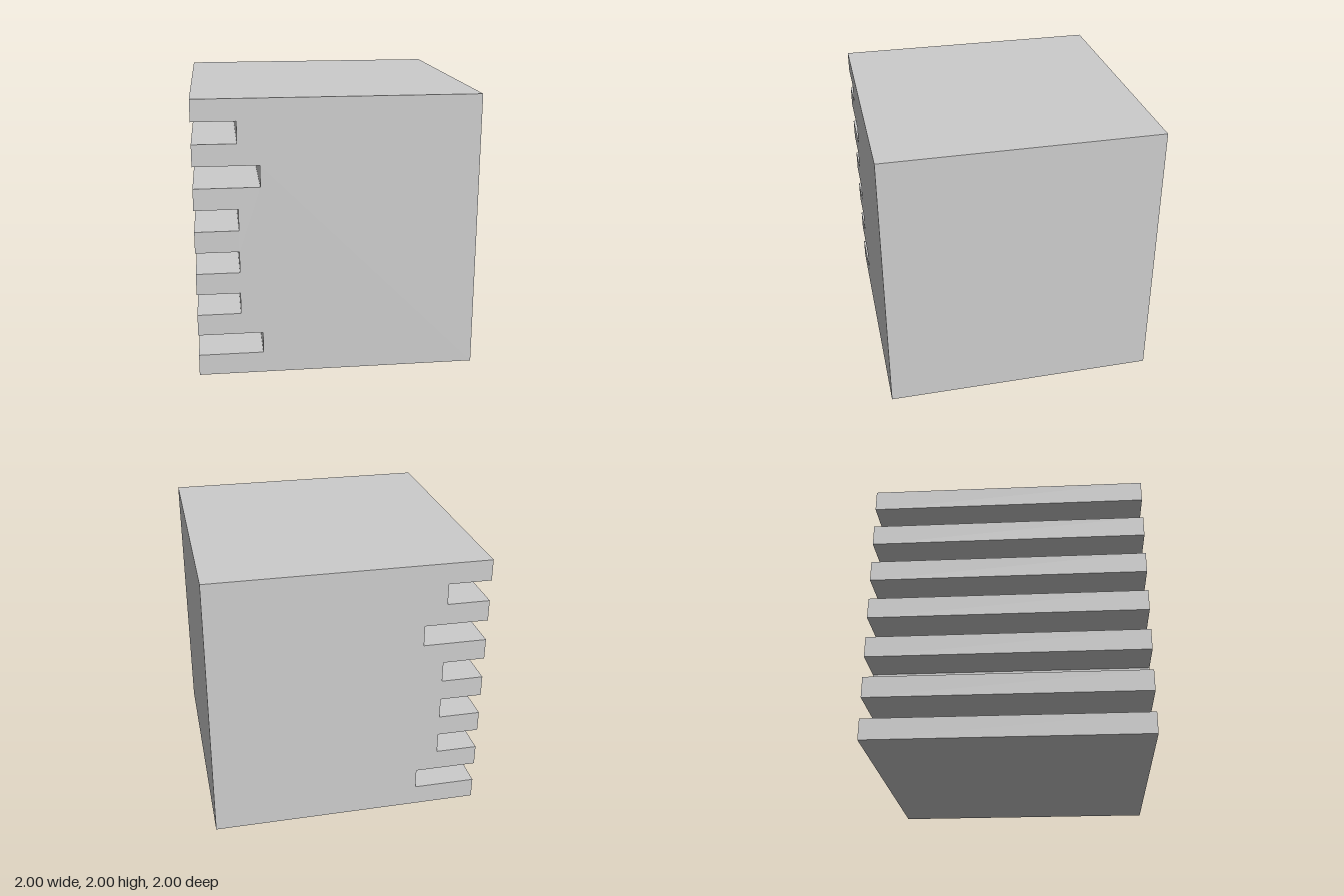
import * as THREE from 'three';

export function createModel() {
  const group = new THREE.Group();
  const unit = 2 / 13; // thickness of each fin and each slot

  // Slot depths in units, bottom to top, cut into the right side
  const slotDepths = [3, 2, 2, 2, 3, 2];

  // Comb-shaped front profile
  const profile = new THREE.Shape();
  profile.moveTo(1, 0);
  profile.lineTo(1, 2);
  profile.lineTo(-1, 2);
  for (let i = slotDepths.length - 1; i >= 0; i--) {
    const bottom = (2 * i + 1) * unit;
    const top = bottom + unit;
    const inner = -1 + slotDepths[i] * unit;
    profile.lineTo(-1, top);
    profile.lineTo(inner, top);
    profile.lineTo(inner, bottom);
    profile.lineTo(-1, bottom);
  }
  profile.lineTo(-1, 0);
  profile.closePath();

  // Block with slots running its full depth
  const geometry = new THREE.ExtrudeGeometry(profile, { depth: 2, bevelEnabled: false });
  geometry.translate(0, 0, -1);
  const block = new THREE.Mesh(
    geometry,
    new THREE.MeshStandardMaterial({ color: 0xcccccc, flatShading: true })
  );
  block.name = 'slottedBlock';
  group.add(block);

  return group;
}
